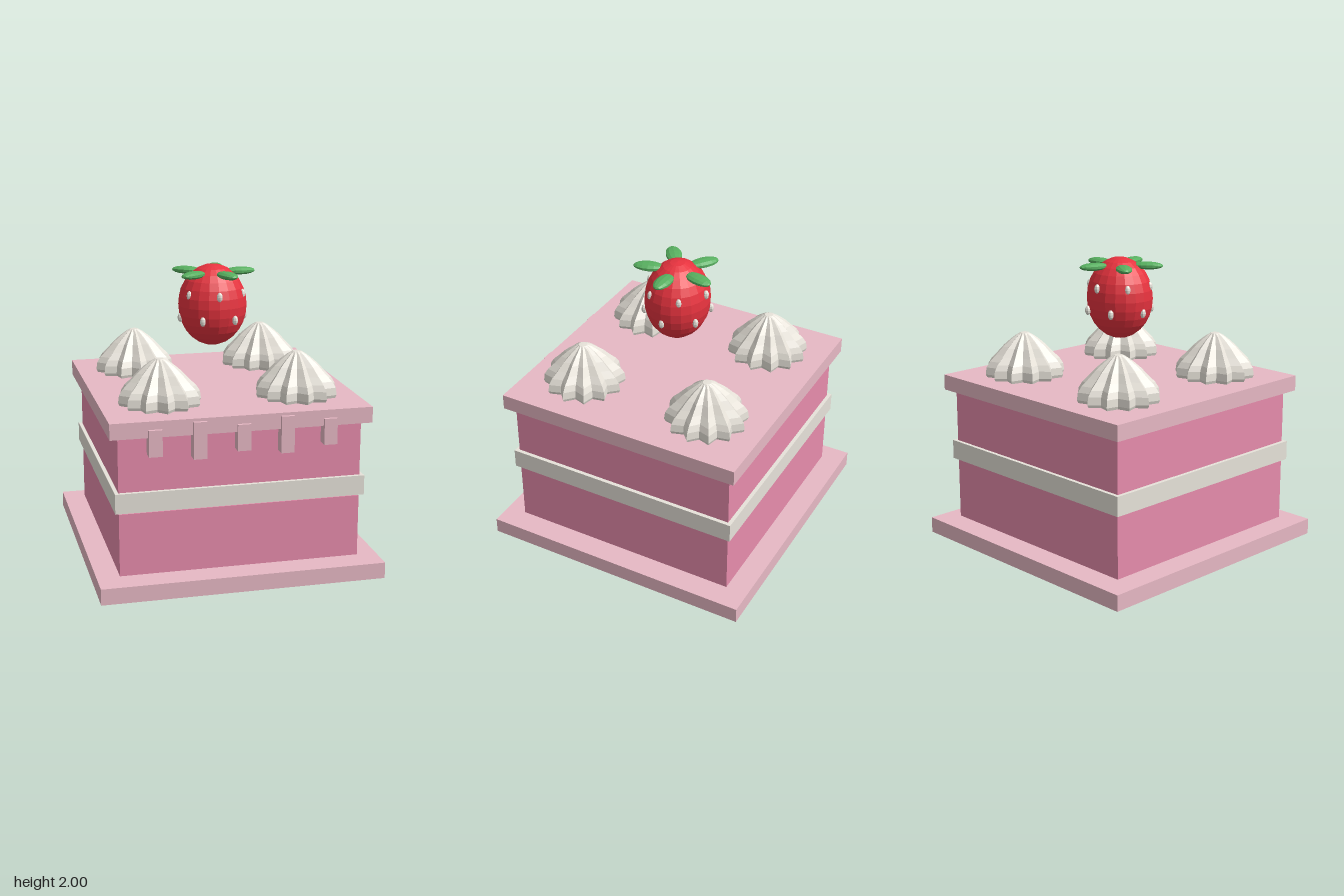
import * as THREE from 'three';

export function createModel() {
  const root = new THREE.Group();
  root.name = 'layerCake';

  const material = (name, color, flatShading = false) => {
    const m = new THREE.MeshStandardMaterial({ color, flatShading });
    m.name = name;
    return m;
  };
  const icing = material('paleIcing', 0xffccd9);
  const sponge = material('pinkSponge', 0xff9bbe);
  const cream = material('cream', 0xfffaf0, true);
  const red = material('berryRed', 0xec3440, true);
  const green = material('leafGreen', 0x58b060, true);

  const add = (name, geometry, mat, parent = root) => {
    const mesh = new THREE.Mesh(geometry, mat);
    mesh.name = name;
    parent.add(mesh);
    return mesh;
  };
  // Square slab between two heights
  const slab = (name, half, y0, y1, mat) => {
    add(name, new THREE.BoxGeometry(half * 2, y1 - y0, half * 2), mat).position.y = (y0 + y1) / 2;
  };

  // Cake layers
  slab('basePlate', 0.955, 0, 0.11, icing);
  slab('lowerSponge', 0.807, 0.125, 0.547, sponge);
  slab('creamFilling', 0.833, 0.56, 0.693, cream);
  slab('upperSponge', 0.807, 0.67, 1.1, sponge);
  slab('topIcing', 0.865, 1.063, 1.17, icing);

  // Icing drips along the front
  for (let i = 0; i < 5; i++) {
    const height = i % 2 ? 0.245 : 0.175;
    add('icingDrip', new THREE.BoxGeometry(0.088, height, 0.08), icing)
      .position.set((i - 2) * 0.288, 1.028, 0.847);
  }

  // Piped cream swirls: a lathe with every second column pulled in
  const profile = [
    [0.262, 1.16], [0.277, 1.19], [0.27, 1.24], [0.245, 1.28], [0.2, 1.325],
    [0.15, 1.38], [0.105, 1.42], [0.06, 1.455], [0.028, 1.474], [0, 1.475],
  ];
  const swirl = new THREE.LatheGeometry(profile.map(([r, y]) => new THREE.Vector2(r, y)), 24);
  const p = swirl.attributes.position;
  for (let i = 0; i < p.count; i++) {
    const column = Math.floor(i / profile.length);
    if (column % 2 === 0 || p.getY(i) > 1.47) continue;
    p.setX(i, p.getX(i) * 0.8);
    p.setZ(i, p.getZ(i) * 0.8);
  }
  swirl.computeVertexNormals();
  for (const x of [-1, 1]) for (const z of [-1, 1]) {
    add('creamSwirl', swirl, cream).position.set(x * 0.465, 0, z * 0.465);
  }

  // Strawberry
  const berry = new THREE.Group();
  berry.name = 'strawberry';
  berry.position.y = 1.72;
  root.add(berry);
  add('berryBody', new THREE.SphereGeometry(1, 20, 14).scale(0.236, 0.28, 0.22), red, berry);

  // Two staggered rings of seeds
  const seed = new THREE.SphereGeometry(1, 8, 6).scale(0.02, 0.033, 0.02);
  for (let i = 0; i < 12; i++) {
    const a = (i * Math.PI) / 6;
    const r = i % 2 ? 0.212 : 0.224;
    add('seed', seed, cream, berry)
      .position.set(Math.cos(a) * r, i % 2 ? 0.085 : -0.08, Math.sin(a) * r);
  }

  // Five leaves
  const leaf = new THREE.SphereGeometry(1, 10, 8).rotateZ(-Math.PI / 2)
    .scale(0.105, 0.027, 0.056).translate(0.193, 0.225, 0);
  for (let i = 0; i < 5; i++) {
    add('leaf', leaf, green, berry).rotation.y = (i * Math.PI * 2) / 5;
  }

  return root;
}
